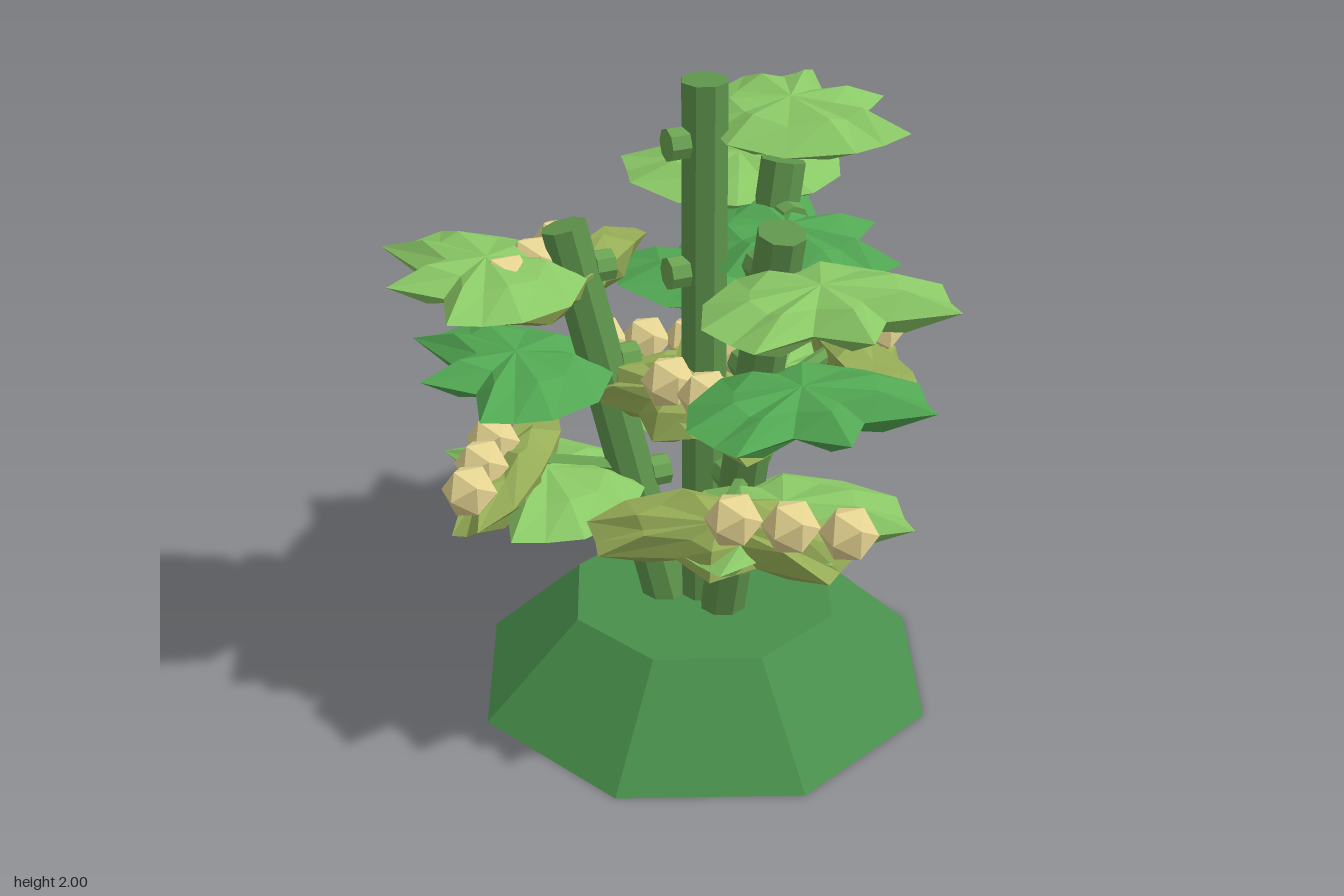
import * as THREE from 'three';

const mat = (color) => new THREE.MeshStandardMaterial({ color, flatShading: true });
const V = (x, y, z) => new THREE.Vector3(x, y, z);

// Lobed fan leaf: base at the origin, spreading along +z, domed above and below
function leafGeometry() {
  const half = [[0, 0.59], [0.11, 0.45], [0.31, 0.51], [0.33, 0.41], [0.365, 0.30], [0.28, 0.12], [0.13, 0.01]];
  const rim = [...half, [0, 0.03], ...half.slice(1).reverse().map(([x, z]) => [-x, z])];
  const n = rim.length, cz = 0.28;
  const pos = [], idx = [];
  const ring = (s, yTip, yNotch) => rim.forEach(([x, z], i) =>
    pos.push(x * s, i % 2 ? yNotch : yTip, cz + (z - cz) * s));
  ring(1, 0.005, -0.005);
  ring(0.6, 0.06, 0.04);
  ring(0.6, -0.062, -0.045);
  pos.push(0, 0.063, cz, 0, -0.068, cz);
  for (let i = 0; i < n; i++) {
    const j = (i + 1) % n;
    idx.push(i, j, n + j, i, n + j, n + i, n + i, n + j, 3 * n);
    idx.push(i, 2 * n + j, j, i, 2 * n + i, 2 * n + j, 2 * n + i, 3 * n + 1, 2 * n + j);
  }
  const g = new THREE.BufferGeometry();
  g.setAttribute('position', new THREE.Float32BufferAttribute(pos, 3));
  g.setIndex(idx);
  const flat = g.toNonIndexed();
  flat.computeVertexNormals();
  return flat;
}

export function createModel() {
  const model = new THREE.Group();
  const moundMat = mat(0x488f4b), stemMat = mat(0x5f954c), twigMat = mat(0x6aa352);
  const lightMat = mat(0x8ac866), darkMat = mat(0x52a853), oliveMat = mat(0x97ae57), berryMat = mat(0xe6d592);
  const leafGeo = leafGeometry();
  const berryGeo = new THREE.IcosahedronGeometry(0.085, 0);

  const add = (name, geo, material) => {
    const m = new THREE.Mesh(geo, material);
    m.name = name;
    model.add(m);
    return m;
  };
  // Straight round part between two points
  const rod = (name, a, b, r, material, sides = 8) => {
    const d = b.clone().sub(a);
    const m = add(name, new THREE.CylinderGeometry(r, r, d.length(), sides), material);
    m.position.copy(a).add(b).multiplyScalar(0.5);
    m.quaternion.setFromUnitVectors(V(0, 1, 0), d.normalize());
  };
  const leaf = (name, material, p, yaw, tilt, scale) => {
    const m = add(name, leafGeo, material);
    m.position.copy(p);
    m.rotation.set(tilt, yaw, 0, 'YXZ');
    m.scale.set(...scale);
  };

  // Eight-sided mound
  add('mound', new THREE.CylinderGeometry(0.43, 0.74, 0.3, 8), moundMat).position.set(0.08, 0.15, -0.08);

  // Stems, each carrying three tiers of leaves on its outer side
  const stems = [
    { a: V(0.08, 0.25, -0.08), b: V(0.08, 2, -0.08), dir: V(1, 0, 0), tiers: [1.84, 1.44, 0.97] },
    { a: V(0.10, 0.25, 0.01), b: V(0.14, 1.67, 0.31), dir: V(0, 0, 1), tiers: [1.54, 1.2, 0.79] },
    { a: V(0.16, 0.25, -0.12), b: V(0.44, 1.63, -0.29), dir: V(0, 0, -1), tiers: [1.5, 1.18, 0.78] },
    { a: V(-0.02, 0.25, -0.13), b: V(-0.27, 1.52, -0.32), dir: V(-1, 0, 0), tiers: [1.4, 1.1, 0.72] },
  ];
  for (const { a, b, dir, tiers } of stems) {
    rod('stem', a, b, 0.072, stemMat);
    const yaw = Math.atan2(dir.x, dir.z);
    tiers.forEach((y, k) => {
      const p = a.clone().lerp(b, (y - a.y) / (b.y - a.y));
      leaf('leaf', k === 1 ? darkMat : lightMat, p, yaw, -0.04, [1, 1, [0.99, 0.97, 1][k]]);
      // twig through the stem with a knob behind it
      const q = p.clone().setY(y - 0.02);
      rod('twig', q.clone().addScaledVector(dir, -0.1), q.clone().addScaledVector(dir, 0.15), 0.03, twigMat, 6);
      rod('knob', q.clone().addScaledVector(dir, -0.12), q.clone().addScaledVector(dir, -0.06), 0.05, twigMat);
    });
  }

  // Berry clusters: a drooping olive leaf with three berries along one end of its crest
  // [middle berry, step between berries, leaf shift back along the row in steps]
  const clusters = [
    [V(0.60, 1.20, -0.04), V(0.02, -0.01, -0.14), 0.95],
    [V(0.02, 0.93, 0.64), V(0.13, 0, 0.10), 1.3],
    [V(0.15, 0.90, -0.70), V(-0.13, 0, -0.055), 1.1],
    [V(-0.60, 0.845, -0.2), V(-0.08, -0.01, 0.12), 0.95],
    [V(-0.02, 1.12, 0.15), V(0.06, 0, 0.13), 0.95],
    [V(0.3, 1.08, -0.28), V(0.09, -0.01, -0.13), 1.1],
    [V(-0.36, 1.41, -0.35), V(-0.12, 0, 0.10), 1.1],
  ];
  for (const [mid, step, shift] of clusters) {
    // outward side: across the berry row, away from the trunk
    const out = V(step.z, 0, -step.x).normalize();
    if (out.x * (mid.x - 0.08) + out.z * (mid.z + 0.08) < 0) out.negate();
    const base = mid.clone().addScaledVector(out, -0.19).addScaledVector(step, -shift);
    base.y -= 0.025;
    leaf('berryLeaf', oliveMat, base, Math.atan2(out.x, out.z), 0.5, [1.08, 1.2, 0.52]);
    for (const k of [-1, 0, 1]) add('berry', berryGeo, berryMat).position.copy(mid).addScaledVector(step, k);
    // stalk back to the nearest stem
    const joints = stems.map(({ a, b }) => a.clone().lerp(b, (base.y - 0.1 - a.y) / (b.y - a.y)));
    joints.sort((p, q) => p.distanceTo(base) - q.distanceTo(base));
    rod('berryStalk', joints[0], base.clone().addScaledVector(out, 0.06).setY(base.y - 0.03), 0.025, twigMat, 6);
  }
  return model;
}
